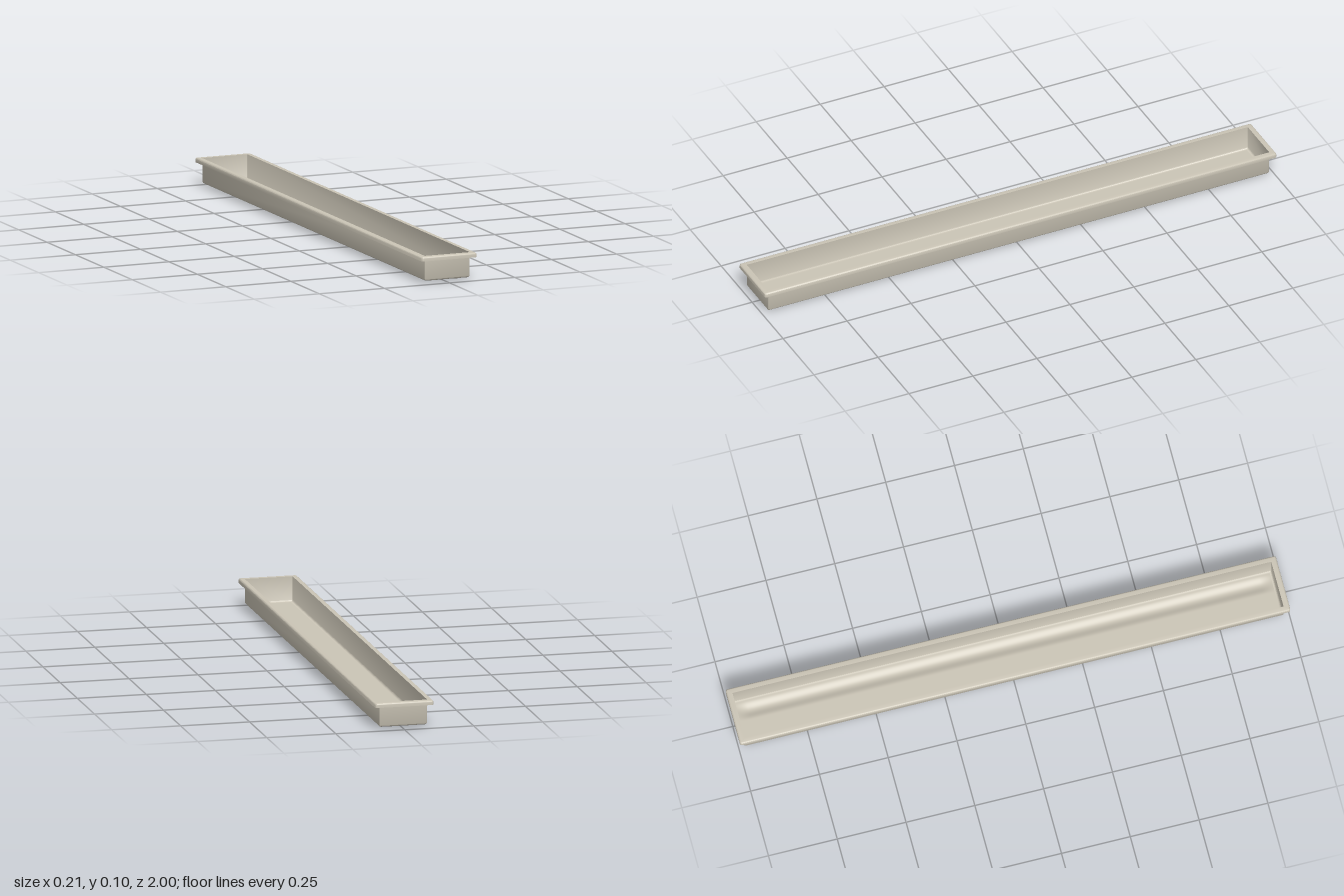
import * as THREE from 'three';
import { mergeVertices, toCreasedNormals } from 'three/addons/utils/BufferGeometryUtils.js';

const CORNER_STEPS = 4;

// Rounded rectangle in the xz plane at height y
function ring(hx, hz, r, y) {
  const pts = [];
  for (const [sx, sz, start] of [[1, 1, 0], [-1, 1, 1], [-1, -1, 2], [1, -1, 3]]) {
    for (let i = 0; i <= CORNER_STEPS; i++) {
      const a = (start + i / CORNER_STEPS) * Math.PI / 2;
      pts.push([sx * (hx - r) + r * Math.cos(a), y, sz * (hz - r) + r * Math.sin(a)]);
    }
  }
  return pts;
}

// Skin joining successive rings, ordered from the bottom of the outer face upward
function skin(rings) {
  const n = rings[0].length, index = [];
  for (let j = 0; j < rings.length - 1; j++) {
    for (let i = 0; i < n; i++) {
      const a = j * n + i, b = j * n + (i + 1) % n;
      index.push(a, a + n, b, b, a + n, b + n);
    }
  }
  const geo = new THREE.BufferGeometry();
  geo.setAttribute('position', new THREE.Float32BufferAttribute(rings.flat(2), 3));
  geo.setIndex(index);
  return toCreasedNormals(geo, 0.6);
}

export function createModel() {
  const group = new THREE.Group();
  const stone = new THREE.MeshStandardMaterial({ color: 0xcbc5b6, side: THREE.DoubleSide });
  stone.name = 'warm grey';
  const add = (name, geo) => {
    const mesh = new THREE.Mesh(geo, stone);
    mesh.name = name;
    group.add(mesh);
  };

  // Rim: hanging skirt, rounded shoulder and flat top lip
  const rim = [ring(0.106, 1, 0.008, 0.084)];
  for (let i = 0; i <= 4; i++) {
    const a = i / 4 * Math.PI / 2, d = 0.006 * (1 - Math.cos(a));
    rim.push(ring(0.106 - d, 1 - d, 0.008 - d, 0.094 + 0.006 * Math.sin(a)));
  }
  rim.push(ring(0.0865, 0.979, 0.003, 0.1));
  add('rim', skin(rim));

  // Walls with a rounded lower edge
  const FLOOR = 0.009, R = 0.008, HX = 0.0865, HZ = 0.979;
  const walls = [];
  for (let i = 0; i <= 5; i++) {
    const a = i / 5 * Math.PI / 2, d = R * (1 - Math.sin(a));
    walls.push(ring(HX - d, HZ - d, 0.003 * Math.sin(a), FLOOR + R * (1 - Math.cos(a))));
  }
  walls.push(ring(HX, HZ, 0.003, 0.1));
  add('walls', skin(walls));

  // Floor with a shallow lengthwise drainage channel, fading out at both ends
  const w = HX - R, l = HZ - R;
  const floor = new THREE.PlaneGeometry(w * 2, l * 2, 40, 96).rotateX(-Math.PI / 2);
  const p = floor.attributes.position;
  for (let i = 0; i < p.count; i++) {
    const t = Math.min(1, Math.abs(p.getX(i) - 0.043) / 0.0355);
    const fade = Math.min(1, (l - Math.abs(p.getZ(i))) / 0.03);
    p.setY(i, FLOOR * (1 - Math.cos(t * Math.PI / 2) ** 2 * fade));
  }
  floor.deleteAttribute('normal');
  floor.deleteAttribute('uv');
  const smooth = mergeVertices(floor);
  smooth.computeVertexNormals();
  add('floor', smooth);

  return group;
}
